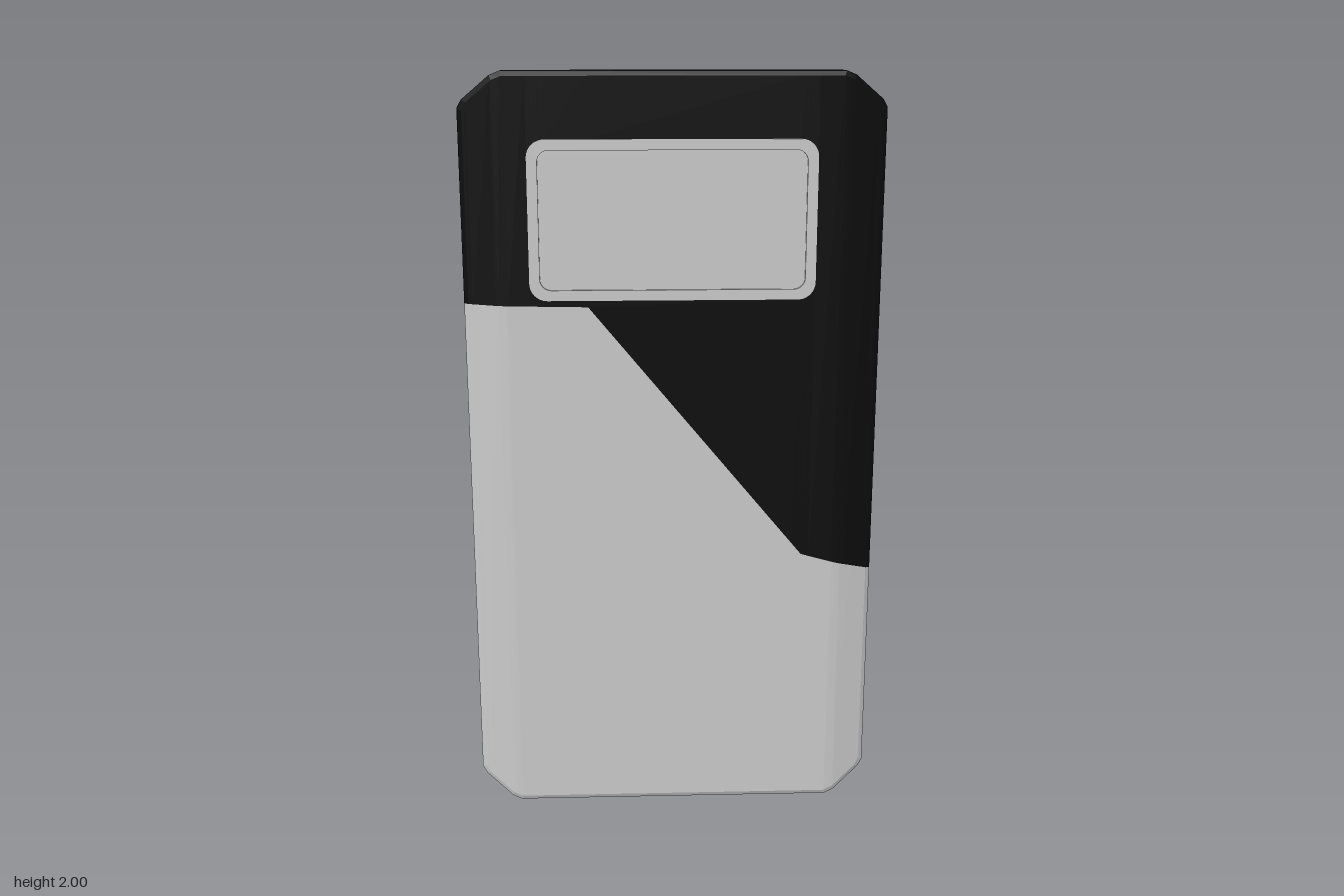
import * as THREE from 'three';
import { mergeVertices } from 'three/addons/utils/BufferGeometryUtils.js';

const W = 0.54, FRONT = 0.054, BACK = -0.027, BEVEL = 0.012;
const HOLE = { x: -0.002, y: 1.632, w: 0.367, h: 0.203, r: 0.045 };
const SPLIT = [[-W, 1.418], [-0.22, 1.412], [0.345, 0.73], [W, 0.675]];
const BEND = [[0, 0], [0.43, 0], [0.455, -0.004], [W, -0.031]];

// piecewise linear lookup
function lerpTable(table, x) {
  let k = 1;
  while (k < table.length - 1 && x > table[k][0]) k++;
  const [x0, y0] = table[k - 1], [x1, y1] = table[k];
  return y0 + (y1 - y0) * (x - x0) / (x1 - x0);
}
const bend = x => lerpTable(BEND, Math.abs(x));
const split = x => lerpTable(SPLIT, x);

// one quarter of the clipped-corner outline, inset by i, relative to y = 1
const quarter = i => [
  [0.43 - 0.4 * i, 1 - i], [0.455 - 0.4 * i, 0.99 - i],
  [0.528 - i, 0.93 - 0.5 * i], [W - i, 0.91 - 0.5 * i]
];
const halfHeight = (x, i) => lerpTable([[0, 1 - i], ...quarter(i)], Math.abs(x));

// half height of the rounded window opening at x
function holeHalf(x) {
  const d = Math.max(0, Math.abs(x - HOLE.x) - (HOLE.w - HOLE.r));
  return HOLE.h - HOLE.r + Math.sqrt(Math.max(0, HOLE.r ** 2 - d * d));
}

function toGeometry(quads) {
  const pos = [];
  for (const [a, b, c, d] of quads) pos.push(...a, ...b, ...c, ...a, ...c, ...d);
  const g = new THREE.BufferGeometry();
  g.setAttribute('position', new THREE.Float32BufferAttribute(pos, 3));
  return g;
}

// x positions of the columns that make up a bent face
function stations(i) {
  const xs = SPLIT.slice(1, 3).map(p => p[0]);
  for (const s of [-1, 1]) {
    xs.push(s * 0.455, s * 0.43, ...quarter(i).map(p => s * p[0]));
    for (let k = 0; k <= 6; k++) {
      const a = k / 6 * Math.PI / 2;
      xs.push(HOLE.x + s * (HOLE.w - HOLE.r + HOLE.r * Math.sin(a)));
    }
  }
  xs.sort((a, b) => a - b);
  return xs.filter((x, k) => k === 0 || x - xs[k - 1] > 1e-5);
}

// front and back faces of the upper or lower colour area
function faces(upper) {
  const quads = [];
  for (const [i, z, front] of [[BEVEL, FRONT, true], [0, BACK, false]]) {
    const xs = stations(i);
    for (let k = 0; k + 1 < xs.length; k++) {
      const x0 = xs[k], x1 = xs[k + 1];
      const column = (lo, hi) => {
        const p = (x, f) => [x, f(x), z + bend(x)];
        const q = [p(x0, lo), p(x1, lo), p(x1, hi), p(x0, hi)];
        quads.push(front ? q : q.reverse());
      };
      const top = x => 1 + halfHeight(x, i), bottom = x => 1 - halfHeight(x, i);
      const inHole = Math.abs((x0 + x1) / 2 - HOLE.x) < HOLE.w;
      if (!upper) column(bottom, split);
      else if (!inHole) column(split, top);
      else {
        column(split, x => HOLE.y - holeHalf(x));
        column(x => HOLE.y + holeHalf(x), top);
      }
    }
  }
  const g = mergeVertices(toGeometry(quads));
  g.computeVertexNormals();
  return g;
}

// grooved edge running around the upper or lower colour area
function rim(upper) {
  const profile = [[BEVEL, FRONT], [0, 0.049], [0, 0.018], [0.02, 0.016], [0.008, 0.012], [0, BACK]];
  const s = upper ? 1 : -1;
  const loops = profile.map(([i, z]) => {
    const q = quarter(i), e = s * (W - i);
    const path = [
      [e, split(e)],
      ...q.slice().reverse().map(([x, y]) => [s * x, 1 + s * y]),
      ...q.map(([x, y]) => [-s * x, 1 + s * y]),
      [-e, split(-e)]
    ];
    return path.map(([x, y]) => [x, y, z + bend(x)]);
  });
  const quads = [];
  for (let j = 0; j + 1 < loops.length; j++)
    for (let k = 0; k + 1 < loops[j].length; k++)
      quads.push([loops[j][k], loops[j + 1][k], loops[j + 1][k + 1], loops[j][k + 1]]);
  const g = toGeometry(quads);
  g.computeVertexNormals();
  return g;
}

// rounded rectangle of the window, inset by i
function windowShape(i, Type = THREE.Shape) {
  const w = HOLE.w - i, h = HOLE.h - i, r = HOLE.r - i * 0.6, s = new Type();
  s.absarc(w - r, h - r, r, 0, Math.PI / 2);
  s.absarc(-w + r, h - r, r, Math.PI / 2, Math.PI);
  s.absarc(-w + r, -h + r, r, Math.PI, Math.PI * 1.5);
  s.absarc(w - r, -h + r, r, Math.PI * 1.5, Math.PI * 2);
  s.closePath();
  return s;
}

function extrude(shape, z0, z1) {
  const g = new THREE.ExtrudeGeometry(shape, { depth: z1 - z0, bevelEnabled: false, curveSegments: 6 });
  return g.translate(HOLE.x, HOLE.y, z0);
}

// inward-facing wall of the window opening
function openingWall() {
  const pts = windowShape(0).getPoints(6), quads = [];
  pts.forEach((a, k) => {
    const b = pts[(k + 1) % pts.length];
    const v = (p, z) => [HOLE.x + p.x, HOLE.y + p.y, z];
    quads.push([v(a, BACK), v(a, FRONT), v(b, FRONT), v(b, BACK)]);
  });
  const g = toGeometry(quads);
  g.computeVertexNormals();
  return g;
}

export function createModel() {
  const group = new THREE.Group();
  const grey = new THREE.MeshStandardMaterial({ color: 0xcccccc });
  const black = new THREE.MeshStandardMaterial({ color: 0x0d0d0d });
  const add = (name, geometry, material) => {
    const mesh = new THREE.Mesh(geometry, material);
    mesh.name = name;
    group.add(mesh);
  };

  // bent panel in two colours
  add('upperPanel', faces(true), black);
  add('upperRim', rim(true), black);
  add('lowerPanel', faces(false), grey);
  add('lowerRim', rim(false), grey);

  // viewing window set into the panel
  add('windowOpening', openingWall(), black);
  const ring = windowShape(0);
  ring.holes.push(windowShape(0.027, THREE.Path));
  add('windowFrame', extrude(ring, 0.015, 0.057), grey);
  add('windowPane', extrude(windowShape(0.02), 0.025, 0.051), grey);
  return group;
}
